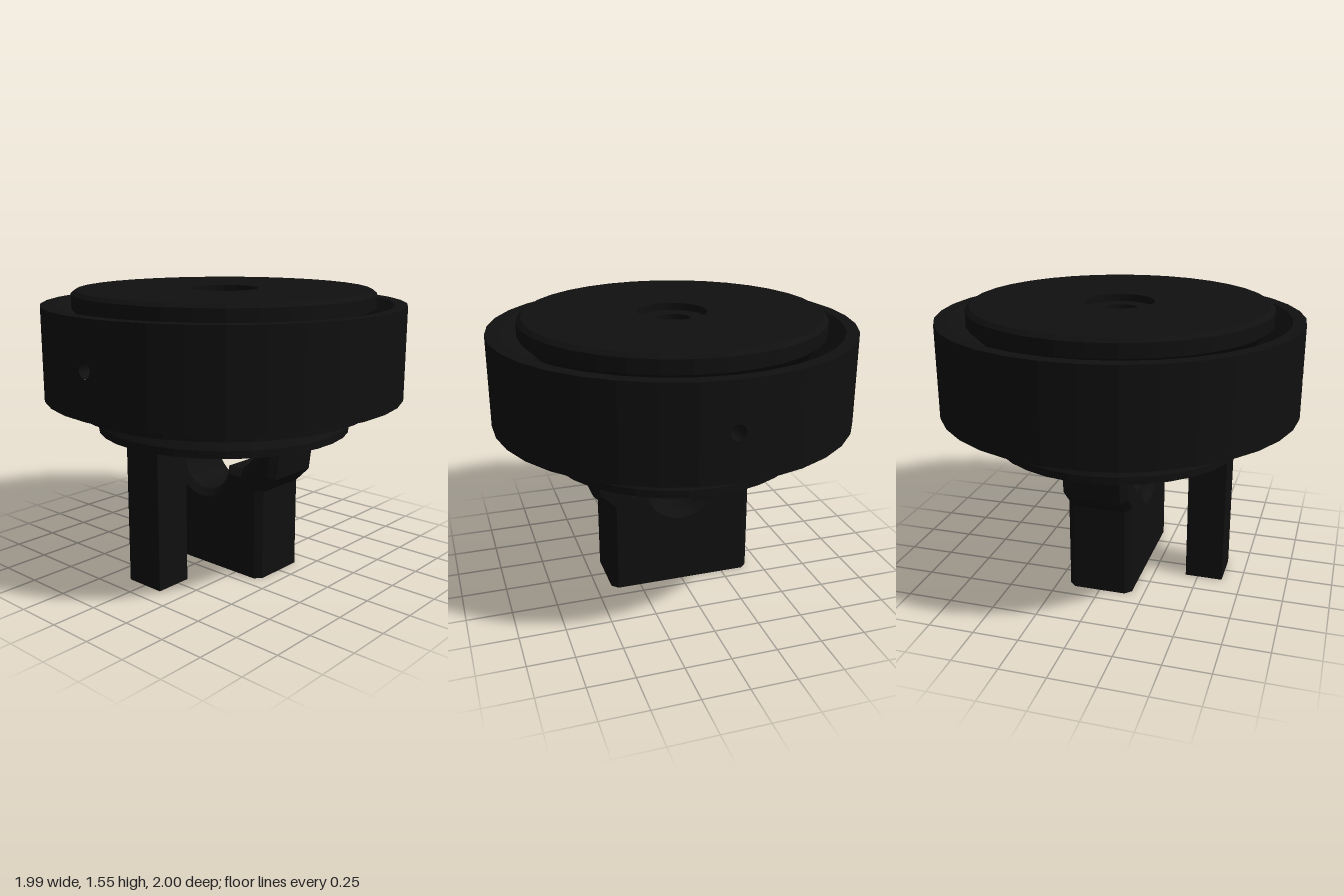
import * as THREE from 'three';
import { mergeGeometries } from 'three/addons/utils/BufferGeometryUtils.js';

const SIDES = 34;
const black = new THREE.MeshStandardMaterial({ color: 0x101010, flatShading: true });
const blackOpen = new THREE.MeshStandardMaterial({ color: 0x101010, flatShading: true, side: THREE.DoubleSide });

const lathe = (points, sides = SIDES) =>
  new THREE.LatheGeometry(points.map(([r, y]) => new THREE.Vector2(r, y)), sides);

function add(parent, name, geometry, material = black) {
  const mesh = new THREE.Mesh(geometry, material);
  mesh.name = name;
  parent.add(mesh);
  return mesh;
}

// Outer ring: V-shaped inside, faceted wall with a screw hole at front and back
function buildRing(group) {
  const y0 = 0.975, y1 = 1.48, mid = (y0 + y1) / 2, holeR = 0.04;
  add(group, 'outerRingInside', lathe([[1, y1], [0.93, y1], [0.75, 1.3], [0.75, 1.155], [0.93, y0], [1, y0]]));

  const step = (Math.PI * 2) / SIDES, w = Math.sin(step / 2), h = (y1 - y0) / 2;
  const panels = [];
  for (let i = 0; i < SIDES; i++) {
    const holeLeft = i % 17 === 0, holeRight = i % 17 === 16;
    const s = new THREE.Shape();
    s.moveTo(-w, -h);
    s.lineTo(w, -h);
    if (holeRight) {
      s.lineTo(w, -holeR);
      s.absarc(w, 0, holeR, -Math.PI / 2, -Math.PI * 1.5, true);
    }
    s.lineTo(w, h);
    s.lineTo(-w, h);
    if (holeLeft) {
      s.lineTo(-w, holeR);
      s.absarc(-w, 0, holeR, Math.PI / 2, -Math.PI / 2, true);
    }
    s.closePath();
    panels.push(new THREE.ShapeGeometry(s, 8)
      .translate(0, mid, Math.cos(step / 2))
      .rotateY((i + 0.5) * step));
  }
  add(group, 'outerRingWall', mergeGeometries(panels));

  for (const side of [1, -1]) {
    const pocket = lathe([[0, 0], [holeR, 0], [holeR, 0.15]], 16);
    pocket.rotateX(side * Math.PI / 2).translate(0, mid, side * 0.848);
    add(group, side > 0 ? 'frontScrewHole' : 'backScrewHole', pocket, blackOpen);
  }
}

// Flat blade with two arms and a round notch between them
function buildBlade(group) {
  const bevel = 0.035;
  const s = new THREE.Shape();
  const outer = [[0.415, 0], [0.415, 0.5], [0.5, 0.585], [0.525, 0.78], [0.525, 0.93],
    [0.38, 0.93], [0.38, 0.71], [0.27, 0.6], [0.17, 0.6]];
  s.moveTo(-0.415, 0);
  outer.forEach(([x, y]) => s.lineTo(x, y));
  s.absarc(0, 0.6, 0.17, 0, -Math.PI, true);
  outer.slice().reverse().forEach(([x, y]) => s.lineTo(-x, y));
  const g = new THREE.ExtrudeGeometry(s, {
    depth: 0.36 - 2 * bevel, curveSegments: 12,
    bevelEnabled: true, bevelSegments: 1, bevelSize: bevel, bevelThickness: bevel, bevelOffset: -bevel,
  }).translate(0, 0, -0.18 + bevel);

  // Square off the bottom edge, then leave its face open for the plate with a hole
  const p = g.attributes.position, kept = [];
  for (let i = 0; i < p.count; i++) if (p.getY(i) < 0.05) p.setY(i, 0);
  for (let i = 0; i < p.count; i += 3) {
    if (p.getY(i) + p.getY(i + 1) + p.getY(i + 2) < 1e-6) continue;
    for (let k = i; k < i + 3; k++) kept.push(p.getX(k), p.getY(k), p.getZ(k));
  }
  const body = new THREE.BufferGeometry();
  body.setAttribute('position', new THREE.Float32BufferAttribute(kept, 3));
  body.computeVertexNormals();
  add(group, 'bladeAndArms', body);

  const plate = new THREE.Shape();
  [[0.415, -0.145], [0.415, 0.145], [0.38, 0.18], [-0.38, 0.18],
    [-0.415, 0.145], [-0.415, -0.145], [-0.38, -0.18], [0.38, -0.18]]
    .forEach(([x, y], i) => (i ? plate.lineTo(x, y) : plate.moveTo(x, y)));
  plate.closePath();
  plate.holes.push(new THREE.Path().absarc(0, 0, 0.145, 0, Math.PI * 2, true));
  add(group, 'bladeBottom', new THREE.ShapeGeometry(plate, 12).rotateX(Math.PI / 2), blackOpen);
  add(group, 'bladeBottomHole', lathe([[0.145, 0], [0.145, 0.06], [0, 0.06]], 24), blackOpen);
}

export function createModel() {
  const group = new THREE.Group();
  group.name = 'rotaryKnob';

  // Inner hub: boss, snap rim, two flanges with a groove between, counterbored top
  add(group, 'hub', lathe([
    [0, 0.71], [0.12, 0.71], [0.2, 0.78], [0.2, 0.9], [0.6, 0.9], [0.6, 0.78],
    [0.71, 0.78], [0.71, 0.82], [0.65, 0.9], [0.835, 0.9], [0.835, 0.99],
    [0.71, 1.115], [0.71, 1.335], [0.835, 1.46], [0.835, 1.535], [0.81, 1.555],
    [0.19, 1.555], [0.19, 1.515], [0.1, 1.515], [0.1, 1.4], [0, 1.4],
  ]));

  buildRing(group);
  buildBlade(group);

  // Straight post in front of the blade
  add(group, 'frontPost', new THREE.BoxGeometry(0.23, 0.91, 0.21).translate(0, 0.455, 0.535));
  return group;
}
